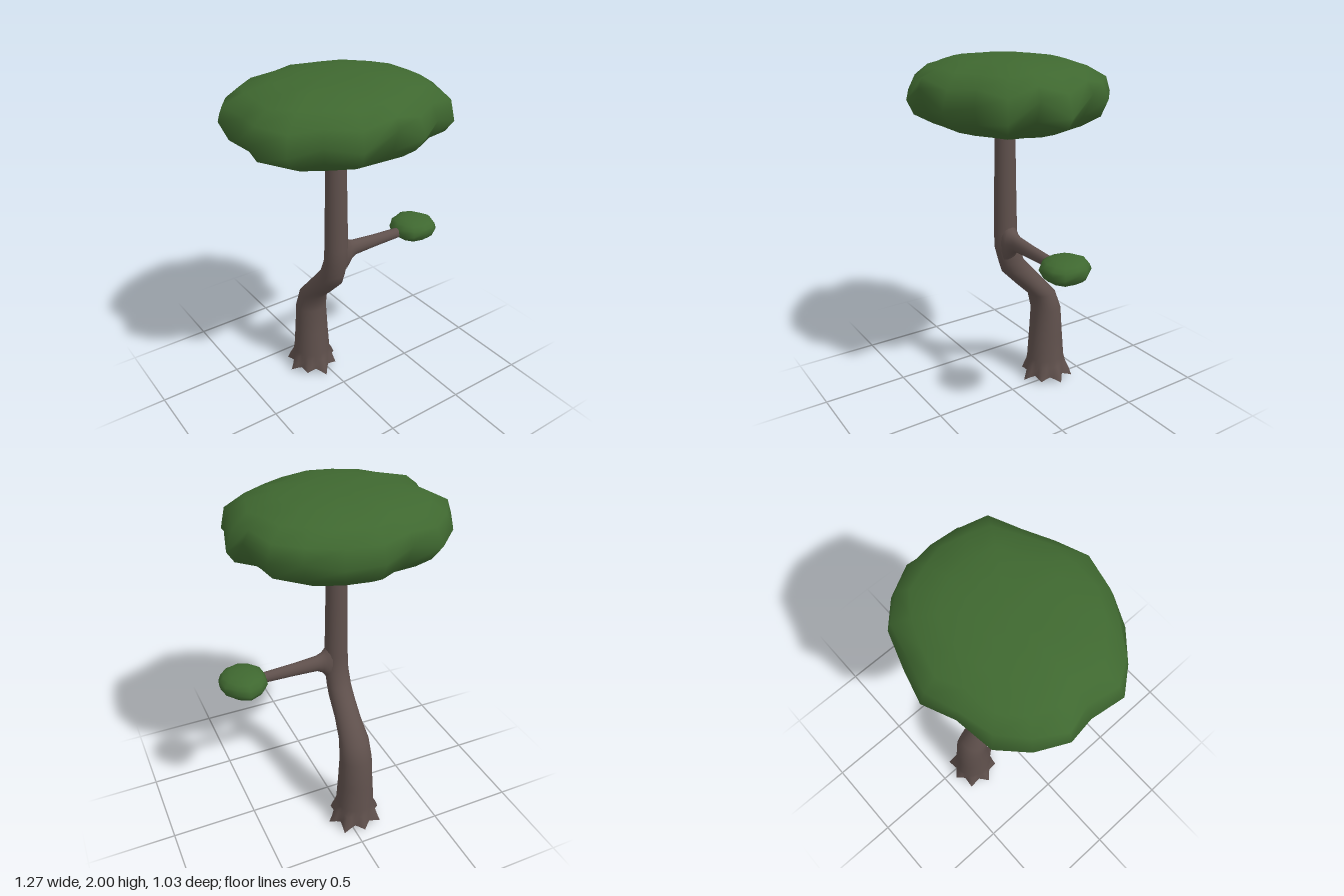
import * as THREE from 'three';
import { mergeVertices } from 'three/addons/utils/BufferGeometryUtils.js';

// Skin a list of closed rings (equal point counts) into one smooth surface.
function loft(rings) {
  const n = rings[0].length, pos = [], index = [];
  rings.forEach(ring => ring.forEach(p => pos.push(...p)));
  for (let r = 0; r < rings.length - 1; r++) {
    for (let i = 0; i < n; i++) {
      const a = r * n + i, b = r * n + (i + 1) % n;
      index.push(a, a + n, b, b, a + n, b + n);
    }
  }
  let geo = new THREE.BufferGeometry();
  geo.setAttribute('position', new THREE.Float32BufferAttribute(pos, 3));
  geo.setIndex(index);
  geo = mergeVertices(geo, 1e-5);
  geo.computeVertexNormals();
  return geo;
}

const ringOf = (n, fn) => Array.from({ length: n }, (_, i) => fn(i / n * Math.PI * 2, i));

// Flattened leaf cushion: a lumpy rim [x, z, y] scaled along a domed profile.
function leafCushion(rim, cx, cz, bottom, top, lump) {
  const mid = (bottom + top) / 2, half = (top - bottom) / 2;
  const profile = [[0, -1], [0.28, -0.99], [0.54, -0.91], [0.76, -0.72], [0.92, -0.43],
    [1, 0], [0.94, 0.42], [0.79, 0.72], [0.55, 0.91], [0.28, 0.99], [0, 1]];
  return loft(profile.map(([s, h], r) => rim.map(([x, z, y], i) => {
    const wobble = s === 0 || s === 1 ? 0 : Math.sin(i * 2.1 + r * 3.7) * lump * s;
    const k = s + wobble;
    return [cx + (x - cx) * k, mid + h * half + (y - mid) * s ** 3 * (1 - Math.abs(h)), cz + (z - cz) * k];
  })));
}

export function createModel() {
  const bark = new THREE.MeshStandardMaterial({ color: 0x5f504c });
  bark.name = 'bark brown';
  const leaf = new THREE.MeshStandardMaterial({ color: 0x3f6830 });
  leaf.name = 'leaf green';

  const tree = new THREE.Group();
  tree.name = 'tree';
  const add = (name, geo, mat) => {
    const mesh = new THREE.Mesh(geo, mat);
    mesh.name = name;
    tree.add(mesh);
  };

  // Root flare: eight claw-like toes, uneven in reach
  const SIDES = 32;
  const reach = [1, 0.7, 0.95, 0.65, 0.9, 1, 0.7, 1];
  const drop = [0.01, 0.02, 0, 0.025, 0.01, 0.015, 0.02, 0.005];
  const rootRing = (y, radius, spread, fall) => ringOf(SIDES, (a, i) => {
    const toe = Math.round(i / 4) % 8;
    const k = [1, 0.35, 0, 0.35][i % 4];
    const r = radius + spread * k * reach[toe];
    return [-0.05 + Math.cos(a) * r, y + (drop[toe] - y) * k * fall, -0.285 + Math.sin(a) * r];
  });
  const foot = rootRing(0.035, 0.122, 0.045, 1);

  // Trunk sections: y, x, z, x radius, z radius
  const sections = [
    [0.14, -0.053, -0.284, 0.112, 0.115], [0.3, -0.053, -0.282, 0.102, 0.103],
    [0.47, -0.053, -0.28, 0.094, 0.091], [0.58, -0.055, -0.247, 0.086, 0.084],
    [0.67, -0.057, -0.16, 0.073, 0.09], [0.77, -0.058, -0.066, 0.07, 0.094],
    [0.83, -0.058, -0.03, 0.069, 0.076], [0.92, -0.058, 0.003, 0.068, 0.068],
    [1.02, -0.058, 0.01, 0.066, 0.066], [1.3, -0.058, 0.011, 0.061, 0.061],
    [1.7, -0.058, 0.01, 0.054, 0.054],
  ];
  const trunkRings = sections.map(([y, x, z, rx, rz]) =>
    ringOf(SIDES, a => [x + Math.cos(a) * rx, y, z + Math.sin(a) * rz]));
  add('trunk', loft([foot, rootRing(0.065, 0.12, 0.03, 0.2), rootRing(0.1, 0.116, 0.01, 0),
    ...trunkRings]), bark);
  add('trunkUnderside', loft([foot.map(() => [-0.05, 0.035, -0.285]), foot]), bark);

  // Side branch, flared where it leaves the trunk: x, y, y radius, z radius
  const branch = [[-0.02, 0.965, 0.13, 0.055], [0.012, 0.967, 0.085, 0.05], [0.03, 0.972, 0.063, 0.042],
    [0.065, 0.976, 0.047, 0.036], [0.2, 0.973, 0.038, 0.032], [0.38, 0.97, 0.031, 0.028],
    [0.46, 0.97, 0.028, 0.026]];
  add('branch', loft(branch.map(([x, y, ry, rz]) =>
    ringOf(16, a => [x, y + Math.cos(a) * ry, 0.01 - Math.sin(a) * rz]))), bark);

  // Main crown
  const crownRim = [[0.53, 0.01, 1.75], [0.49, 0.17, 1.84], [0.46, 0.33, 1.74], [0.28, 0.4, 1.8],
    [0.13, 0.49, 1.77], [-0.06, 0.515, 1.86], [-0.24, 0.5, 1.78], [-0.4, 0.41, 1.81],
    [-0.53, 0.31, 1.76], [-0.635, 0.17, 1.8], [-0.605, 0, 1.77], [-0.63, -0.15, 1.82],
    [-0.55, -0.3, 1.8], [-0.42, -0.42, 1.78], [-0.23, -0.455, 1.83], [-0.06, -0.52, 1.8],
    [0.12, -0.47, 1.78], [0.3, -0.41, 1.82], [0.43, -0.29, 1.8], [0.49, -0.14, 1.85]];
  add('crown', leafCushion(crownRim, -0.05, 0, 1.598, 2, 0.02), leaf);

  // Small leaf tuft at the branch tip
  const tuftRim = [[0.632, 0.02, 0.99], [0.612, 0.095, 0.97], [0.56, 0.135, 0.98], [0.49, 0.148, 0.99],
    [0.42, 0.12, 0.97], [0.38, 0.07, 0.98], [0.368, 0, 0.97], [0.385, -0.07, 0.98],
    [0.43, -0.11, 0.97], [0.5, -0.135, 0.965], [0.57, -0.105, 0.98], [0.617, -0.04, 0.97]];
  add('branchTuft', leafCushion(tuftRim, 0.5, 0.008, 0.91, 1.043, 0.025), leaf);

  return tree;
}
